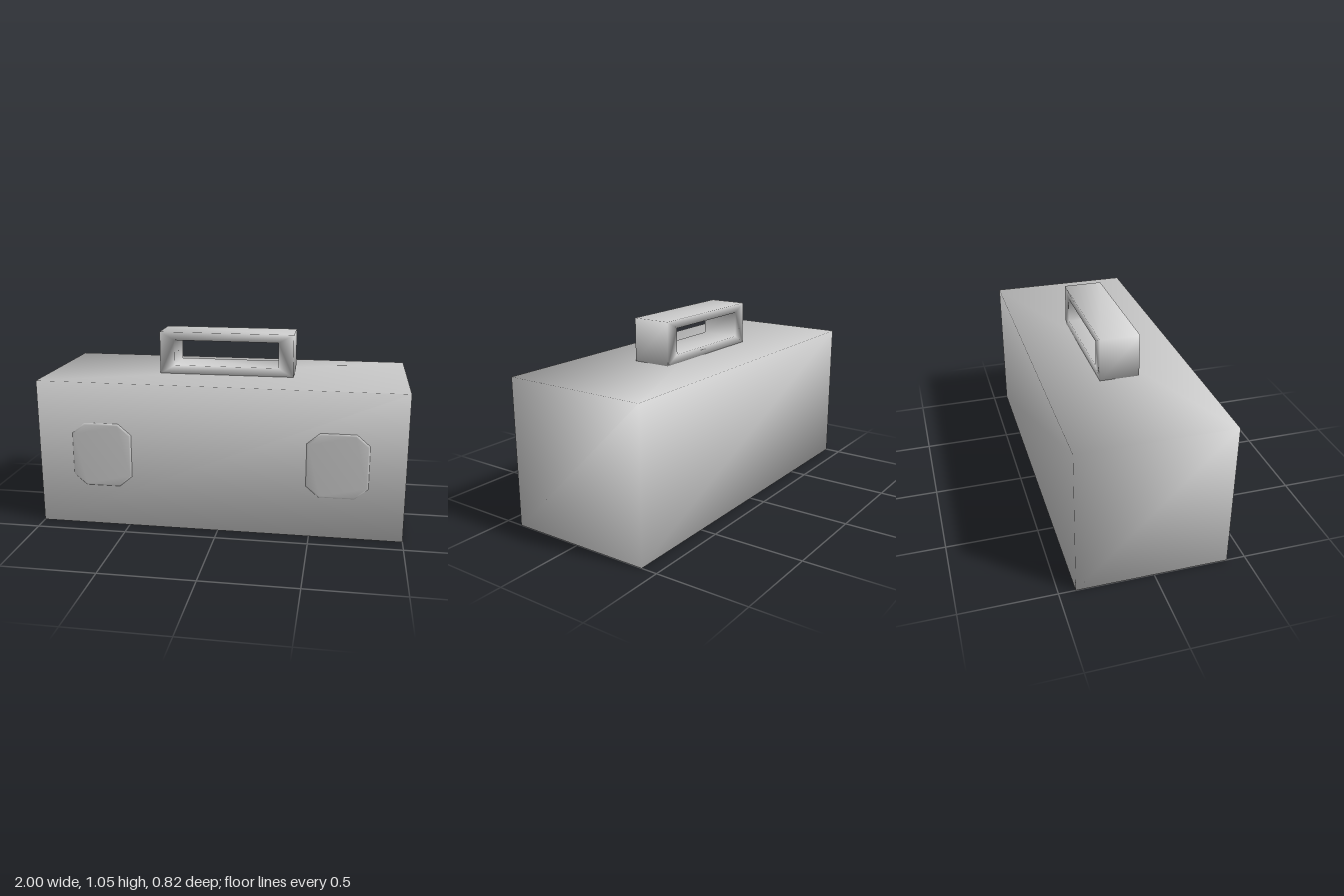
import * as THREE from 'three';
import { mergeVertices } from 'three/addons/utils/BufferGeometryUtils.js';

const material = new THREE.MeshStandardMaterial({ color: 0xcccccc });

// Weld the corners so that normals run smoothly over every edge
function smooth(geometry) {
  geometry.deleteAttribute('normal');
  geometry.deleteAttribute('uv');
  const welded = mergeVertices(geometry, 1e-4);
  welded.computeVertexNormals();
  return welded;
}

function part(name, geometry, x = 0, y = 0, z = 0) {
  const mesh = new THREE.Mesh(smooth(geometry), material);
  mesh.name = name;
  mesh.position.set(x, y, z);
  return mesh;
}

const outline = (points) => points.map(([x, y]) => new THREE.Vector2(x, y));
const rectangle = (w, y0, y1) => outline([[-w, y0], [w, y0], [w, y1], [-w, y1]]);

export function createModel() {
  const model = new THREE.Group();
  model.name = 'toolbox';

  // Case
  model.add(part('case', new THREE.BoxGeometry(2, 0.812, 0.812), 0, 0.406, -0.006));

  // Rectangular carrying handle with a see-through grip
  const frame = new THREE.Shape(rectangle(0.377, 0.81, 1.048));
  frame.holes.push(new THREE.Path(rectangle(0.292, 0.86, 1.002).reverse()));
  const handle = new THREE.ExtrudeGeometry(frame, { depth: 0.215, bevelEnabled: false });
  model.add(part('handle', handle, 0, 0, -0.111));

  // Pair of thin octagonal latches with a bevelled rim
  const w = 0.165, h = 0.178, cx = 0.07, cy = 0.06;
  const octagon = outline([
    [-w + cx, -h], [w - cx, -h], [w, -h + cy], [w, h - cy],
    [w - cx, h], [-w + cx, h], [-w, h - cy], [-w, -h + cy],
  ]);
  for (const side of [-1, 1]) {
    const latch = new THREE.ExtrudeGeometry(new THREE.Shape(octagon), {
      depth: 0.01, bevelThickness: 0.008, bevelSize: 0.01, bevelOffset: -0.01, bevelSegments: 1,
    });
    model.add(part(side > 0 ? 'leftLatch' : 'rightLatch', latch, side * 0.642, 0.407, 0.393));
  }

  return model;
}
